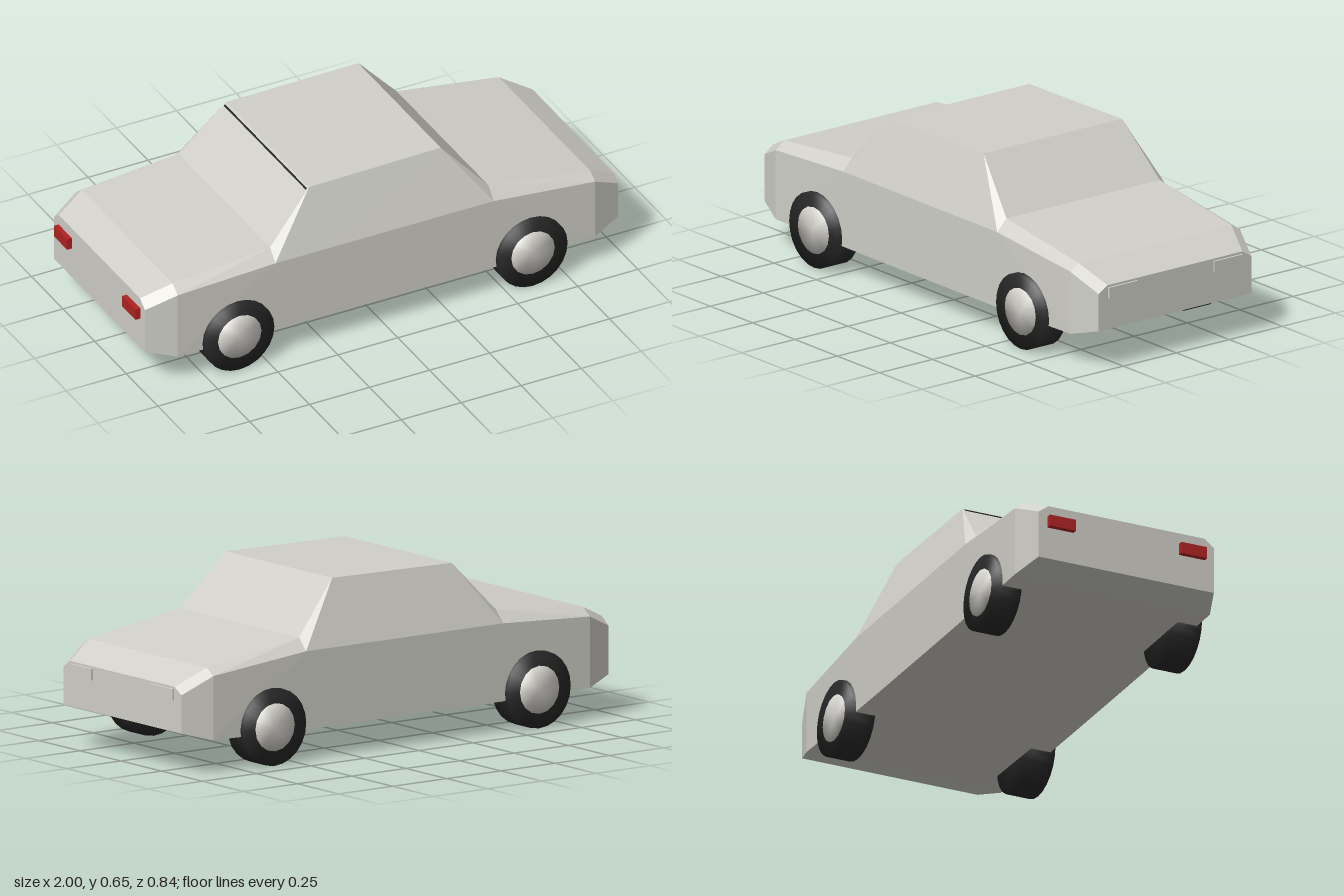
import * as THREE from 'three';
import { mergeVertices } from 'three/addons/utils/BufferGeometryUtils.js';

const paint = (name, color, extra = {}) => {
  const m = new THREE.MeshStandardMaterial({ color, ...extra });
  m.name = name;
  return m;
};

// Stations along the car: x, bottom z/y, belt z/y, top z/y
const STATIONS = [
  [-0.98, 0.36, 0.152, 0.36, 0.335, 0.32, 0.365],
  [-0.865, 0.4, 0.12, 0.4, 0.388, 0.36, 0.418],
  [-0.46, 0.4, 0.116, 0.405, 0.41, 0.362, 0.455],
  [-0.28, 0.4, 0.115, 0.405, 0.41, 0.328, 0.646],
  [0.27, 0.4, 0.115, 0.405, 0.41, 0.326, 0.653],
  [0.45, 0.4, 0.116, 0.405, 0.41, 0.362, 0.455],
  [0.875, 0.4, 0.124, 0.4, 0.365, 0.36, 0.39],
  [0.992, 0.36, 0.156, 0.36, 0.3, 0.318, 0.326],
];

// Loft of six-point rings, closed at the nose and tail
function bodyGeometry() {
  const rings = STATIONS.map(([x, z0, y0, z1, y1, z2, y2]) => [
    [x, y0, z0], [x, y1, z1], [x, y2, z2],
    [x, y2, -z2], [x, y1, -z1], [x, y0, -z0],
  ]);
  const pos = [];
  const tri = (...pts) => pts.forEach((p) => pos.push(...p));
  for (let k = 0; k < rings.length - 1; k++) {
    for (let j = 0; j < 6; j++) {
      const n = (j + 1) % 6;
      const a = rings[k][j], b = rings[k + 1][j], c = rings[k + 1][n], d = rings[k][n];
      // Mirror the diagonals left to right and front to back
      if ((k >= 4) !== (j >= 3)) { tri(a, b, d); tri(b, c, d); }
      else { tri(a, b, c); tri(a, c, d); }
    }
  }
  const tail = rings[0], nose = rings[rings.length - 1];
  for (let i = 1; i < 5; i++) {
    tri(tail[0], tail[i], tail[i + 1]);
    tri(nose[0], nose[i + 1], nose[i]);
  }
  const g = new THREE.BufferGeometry();
  g.setAttribute('position', new THREE.Float32BufferAttribute(pos, 3));
  g.computeVertexNormals();
  return g;
}

// Disc with its axis along z and normals blended over the rim
function softDisc(radius, width, sides) {
  let g = new THREE.CylinderGeometry(radius, radius, width, sides);
  g.rotateX(Math.PI / 2);
  g.deleteAttribute('normal');
  g.deleteAttribute('uv');
  g = mergeVertices(g, 1e-4);
  g.computeVertexNormals();
  return g;
}

export function createModel() {
  const car = new THREE.Group();
  car.name = 'car';
  const bodyPaint = paint('bodyPaint', 0xd0cfc8, { flatShading: true });
  const rubber = paint('tyreRubber', 0x262626);
  const hubMetal = paint('hubMetal', 0xd2d0ca);
  const lampRed = paint('lampRed', 0xb02222);

  const add = (parent, name, geometry, material, x = 0, y = 0, z = 0) => {
    const mesh = new THREE.Mesh(geometry, material);
    mesh.name = name;
    mesh.position.set(x, y, z);
    parent.add(mesh);
    return mesh;
  };

  add(car, 'body', bodyGeometry(), bodyPaint);

  // Thin dark seam under the rear edge of the roof
  const seam = add(car, 'rearWindowSeam', new THREE.BoxGeometry(0.007, 0.004, 0.645), rubber, -0.288, 0.6376, 0);
  seam.rotation.z = Math.atan2(0.191, 0.18);

  // Wheels
  const tyreGeo = softDisc(0.145, 0.098, 24);
  const hubGeo = softDisc(0.09, 0.1, 16);
  for (const [end, x] of [['front', 0.605], ['rear', -0.617]]) {
    for (const [side, s] of [['Left', -1], ['Right', 1]]) {
      const wheel = new THREE.Group();
      wheel.name = `${end}${side}Wheel`;
      wheel.position.set(x, 0.145, s * 0.37);
      add(wheel, 'tyre', tyreGeo, rubber);
      add(wheel, 'hub', hubGeo, hubMetal, 0, 0, s * 0.002);
      car.add(wheel);
    }
  }

  // Lamps at both ends
  const headGeo = new THREE.BoxGeometry(0.02, 0.043, 0.134);
  const tailGeo = new THREE.BoxGeometry(0.03, 0.045, 0.106);
  for (const s of [-1, 1]) {
    add(car, 'headlight', headGeo, bodyPaint, 0.99, 0.296, s * 0.248);
    add(car, 'tailLight', tailGeo, lampRed, -0.985, 0.3, s * 0.27);
  }
  return car;
}
